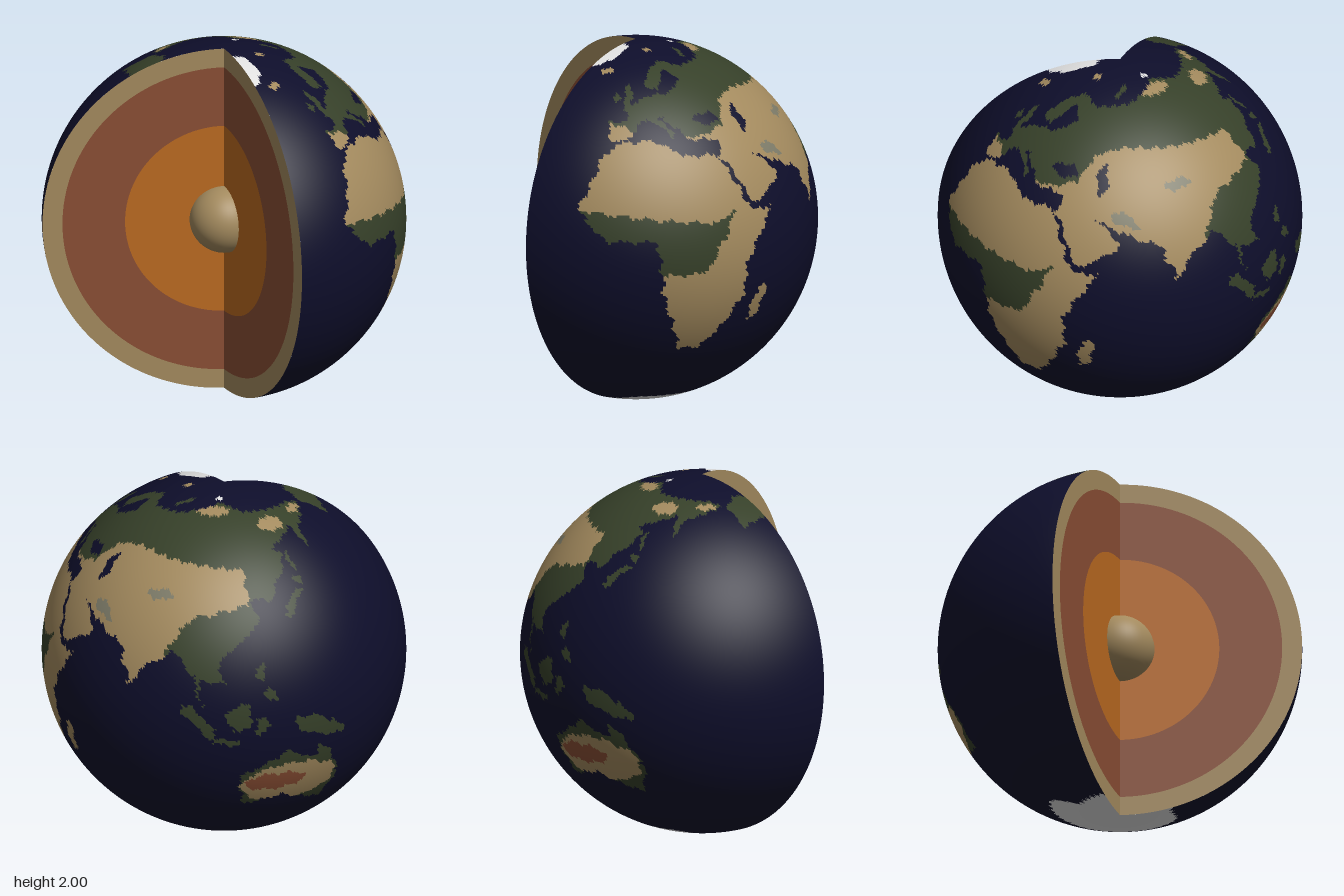
import * as THREE from 'three';

const D = Math.PI / 180;
const CUT = 35; // the wedge is open from 35 degrees west to 145 degrees west

const mat = (name, color) => {
  const m = new THREE.MeshStandardMaterial({ color });
  m.name = name;
  return m;
};
const mats = {
  ocean: mat('deep ocean navy', 0x0e0e2b),
  green: mat('forest green', 0x364029),
  tan: mat('dry land and crust tan', 0xa38a5e),
  grey: mat('highland grey', 0x7d7b68),
  ice: mat('ice white', 0xe2e2e2),
  red: mat('mantle red brown', 0x8a4e34),
  orange: mat('outer core orange', 0xba6a20),
};

// Regions are tests on longitude and latitude (longitudes run from -35 to 215)
const area = (...p) => (x, y) => {
  let hit = false;
  for (let i = 0, j = p.length - 2; i < p.length; j = i, i += 2) {
    if (p[i + 1] > y !== p[j + 1] > y
      && x < ((p[j] - p[i]) * (y - p[i + 1])) / (p[j + 1] - p[i + 1]) + p[i]) hit = !hit;
  }
  return hit;
};
const blob = (cx, cy, rx, ry, tilt = 0) => {
  const c = Math.cos(tilt * D), s = Math.sin(tilt * D);
  return (x, y) => Math.hypot(((x - cx) * c + (y - cy) * s) / rx, ((y - cy) * c - (x - cx) * s) / ry) < 1;
};

// Continents
const eurasia = area(-9, 37, -9, 43.5, -1, 44, -4, 48.5, 8, 54, 21, 55, 30, 60, 25, 66, 68, 69, 104, 77, 130, 71.5,
  180, 69, 189, 66, 163, 60, 157, 52, 157, 61.5, 136, 55, 141, 52, 128, 38, 120, 39, 122, 31, 107, 19, 109, 12,
  100, 14, 103, 2, 98, 16, 91, 22, 80, 14, 77.5, 8, 72, 21, 57, 26, 49, 30, 59, 22, 45, 13, 34.5, 30, 36, 36,
  23, 37, 14, 45, 3, 43, -1, 37);
const scandinavia = area(6, 59, 15, 56, 18, 62, 24, 66, 40, 66, 26, 71, 14, 68);
const africa = area(-6, 36, 10, 37, 20, 31, 33, 31, 43, 11.5, 51, 12, 40, -4, 40, -15, 35, -24, 27, -34, 19, -34.5,
  12, -17, 9, 4, -8, 4.5, -17, 14, -10, 31);
const australia = area(114, -22, 130, -12, 140, -17, 142.5, -11, 153, -26, 149, -38, 131, -31.5, 116, -35);
const alaska = area(192, 66, 204, 71, 220, 70, 220, 60, 197, 56);
const greenland = area(-40, 84, -13, 82, -20, 72, -40, 64);
const step = THREE.MathUtils.smoothstep;
const antarctica = (x, y) => y < -67.5 - 9 * step(x, 150, 170) - 6 * (1 - step(x, -30, 10));

// Islands and inland seas
const iceland = blob(-19, 65, 5, 1.5);
const svalbard = blob(20, 78.7, 7, 1.4);
const northIce = blob(102, 79, 6, 1);
const islands = [
  blob(46.7, -19, 2.2, 6.8, -15), // off south-east Africa
  blob(-2, 54, 2, 4.5), blob(-8, 53, 2, 1.7), // north-west Europe
  blob(60, 74, 7, 1.5, 25), // Arctic
  blob(101, -0.5, 8, 2, -45), blob(114, 1, 4, 4.5), blob(110, -7.4, 5, 1), blob(121, -2, 2, 3), // south-east Asia
  blob(141, -5, 10, 2.8, -22), blob(121.5, 15.5, 1.4, 3), blob(124.5, 8, 2, 2),
  blob(137, 36, 6.5, 1.5, 40), blob(143, 43.3, 2, 1.4), blob(143, 50, 1, 4), // east Asia
];
const inlandWater = [blob(34.5, 43.5, 6, 2.1), blob(51, 42, 2.3, 5)];
const land = [eurasia, scandinavia, africa, australia, alaska, greenland, antarctica, iceland, svalbard,
  northIce, blob(14, 41.5, 5, 1.2, -45), ...islands];

// Ground cover over the land; later entries win, and the rest stays green
const cover = [
  ['tan', area(-20, -40, 60, -40, 60, 37, 4, 38, -4, 42.5, -20, 42.5)],
  ['tan', area(26, 36, 40, 41, 47, 50, 60, 53, 118, 49, 119, 37, 97, 33, 87, 19, 78, 5, 45, 5)],
  ['tan', blob(97, 72.5, 18, 2.4)],
  ['tan', blob(145, 64.5, 10, 3)],
  ['tan', blob(176, 66, 8, 1.5)],
  ['tan', iceland], ['tan', svalbard],
  ['green', area(-19, 14, 30, 9, 36, 13.5, 31, 3, 25, -6.5, 12, -7, -10, 2)],
  ['tan', blob(133, -26, 18, 8.5)],
  ['red', blob(127, -24.5, 11, 3.5)],
  ['grey', blob(82, 39, 6, 1.8)],
  ['grey', blob(60, 29.5, 5, 2, -25)],
  ['ice', antarctica], ['ice', greenland], ['ice', northIce],
];

function coverAt(lon0, lat0) {
  // a small wobble roughens the coastlines
  const lon = lon0 + 0.7 * Math.sin(lat0 * 0.9) + 0.4 * Math.sin(lat0 * 2.7 + lon0);
  const lat = lat0 + 0.5 * Math.sin(lon0 * 0.8) + 0.35 * Math.sin(lon0 * 2.3 + lat0);
  const has = (region) => region(lon, lat);
  if (!land.some(has) || inlandWater.some(has)) return 'ocean';
  let kind = 'green';
  for (const [k, region] of cover) if (has(region)) kind = k;
  return kind;
}

// Outer skin: one open sphere, its triangles sorted into a mesh per ground cover
function buildSurface() {
  const group = new THREE.Group();
  group.name = 'globeSurface';
  const base = new THREE.SphereGeometry(1, 300, 212, (180 - CUT) * D, (180 + 2 * CUT) * D);
  const index = base.index.array;
  const pos = base.attributes.position;
  const faces = {};
  const c = new THREE.Vector3(), v = new THREE.Vector3();
  for (let i = 0; i < index.length; i += 3) {
    c.set(0, 0, 0);
    for (let k = 0; k < 3; k++) c.add(v.fromBufferAttribute(pos, index[i + k]));
    c.normalize();
    let lon = Math.atan2(-c.z, c.x) / D;
    if (lon < -CUT - 0.5) lon += 360;
    const kind = coverAt(lon, Math.asin(c.y) / D);
    (faces[kind] ??= []).push(index[i], index[i + 1], index[i + 2]);
  }
  for (const kind of Object.keys(faces)) {
    const g = new THREE.BufferGeometry();
    g.setAttribute('position', pos);
    g.setAttribute('normal', base.attributes.normal);
    g.setIndex(faces[kind]);
    const mesh = new THREE.Mesh(g, mats[kind]);
    mesh.name = kind + 'Surface';
    group.add(mesh);
  }
  return group;
}

export function createModel() {
  const model = new THREE.Group();
  model.name = 'cutawayGlobe';
  const globe = new THREE.Group();
  globe.name = 'globe';
  globe.position.set(0, 1, 0.21);
  model.add(globe);
  globe.add(buildSurface());

  // Two cut faces, each of three half-round layers
  const layers = [['crust', 0.89, 1, 'tan'], ['mantle', 0.545, 0.89, 'red'], ['outerCore', 0, 0.545, 'orange']];
  for (const side of [1, -1]) {
    for (const [name, r0, r1, key] of layers) {
      const g = new THREE.RingGeometry(r0, r1, 128, 1, (-side * Math.PI) / 2, Math.PI);
      const mesh = new THREE.Mesh(g, mats[key]);
      mesh.name = name + (side > 0 ? 'Left' : 'Right');
      mesh.rotation.y = -side * CUT * D;
      globe.add(mesh);
    }
  }

  // Inner core ball
  const core = new THREE.Mesh(new THREE.SphereGeometry(0.19, 48, 32), mats.tan);
  core.name = 'innerCore';
  globe.add(core);
  return model;
}
